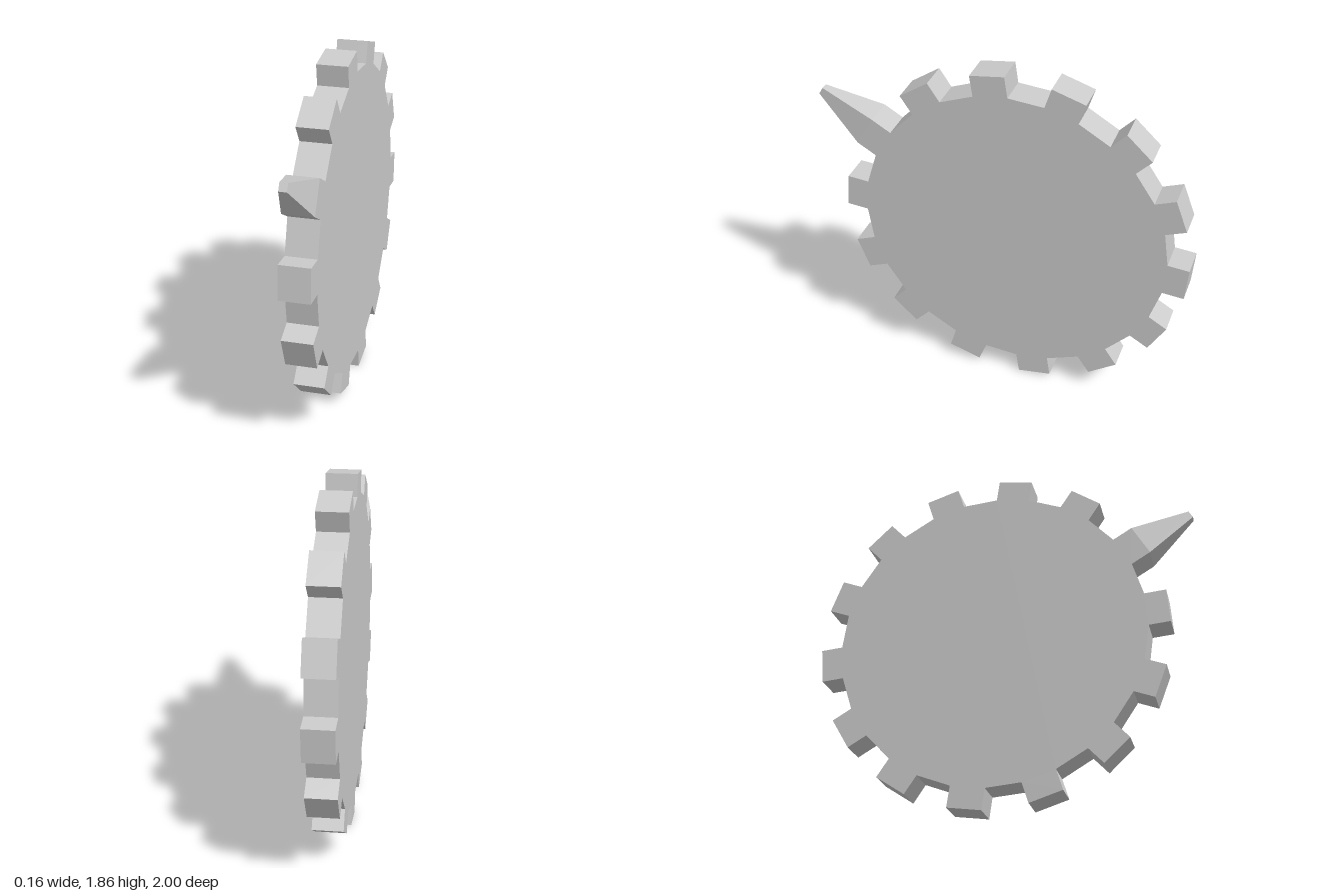
import * as THREE from 'three';

const TEETH = 14, ROOT = 0.813, OUTER = 0.926, HALF = 0.09, THICK = 0.16;
const STEP = (Math.PI * 2) / TEETH;
const START = THREE.MathUtils.degToRad(4.6);

export function createModel() {
  const group = new THREE.Group();
  const material = new THREE.MeshStandardMaterial({ color: 0xcccccc, flatShading: true });

  // Wheel drawn in its own plane, turned below so that plane x becomes z
  const wheel = new THREE.Group();
  wheel.name = 'wheel';
  wheel.rotation.y = -Math.PI / 2;
  wheel.position.set(0, 0.93, -0.07);
  group.add(wheel);

  // Toothed disc outline: four corners per straight-sided tooth
  const outline = [];
  for (let i = 0; i < TEETH; i++) {
    const a = START + i * STEP;
    for (const [r, t] of [[ROOT, -HALF], [OUTER, -HALF], [OUTER, HALF], [ROOT, HALF]]) {
      outline.push(new THREE.Vector2(r, t).rotateAround(new THREE.Vector2(), a));
    }
  }
  const discGeometry = new THREE.ExtrudeGeometry(new THREE.Shape(outline), { depth: THICK, bevelEnabled: false });
  discGeometry.translate(0, 0, -THICK / 2);
  const disc = new THREE.Mesh(discGeometry, material);
  disc.name = 'toothedDisc';
  wheel.add(disc);

  // Spike: a box tapering outward from the end of one tooth
  const length = 0.305;
  const spikeGeometry = new THREE.BoxGeometry(length, HALF * 2, THICK);
  const p = spikeGeometry.attributes.position;
  for (let i = 0; i < p.count; i++) {
    if (p.getX(i) > 0) p.setXYZ(i, p.getX(i), Math.sign(p.getY(i)) * 0.021, Math.sign(p.getZ(i)) * 0.02);
  }
  spikeGeometry.translate(OUTER + length / 2, 0, 0);
  spikeGeometry.computeVertexNormals();
  const spike = new THREE.Mesh(spikeGeometry, material);
  spike.name = 'spike';
  spike.rotation.z = START + STEP;
  wheel.add(spike);

  return group;
}
